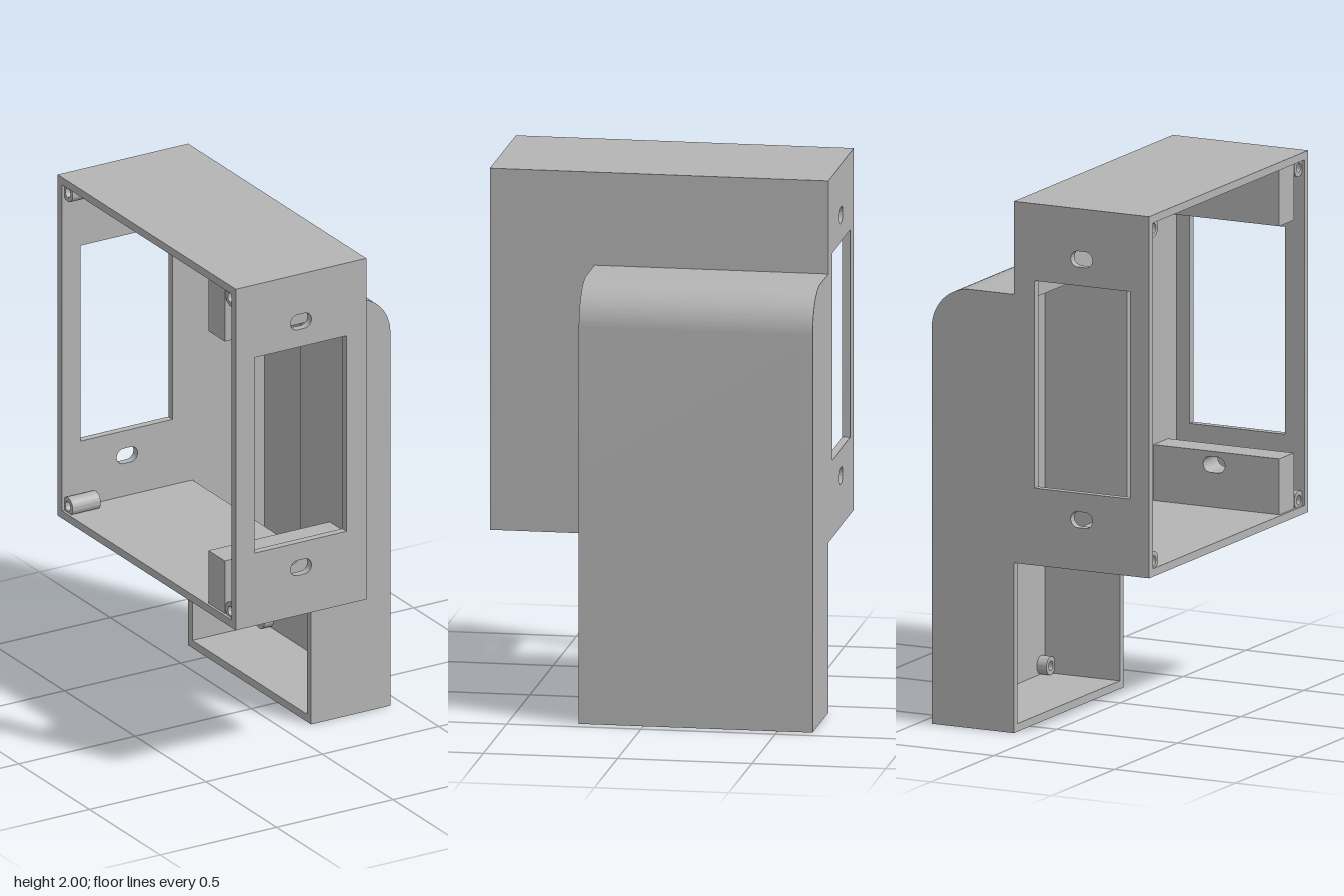
import * as THREE from 'three';
import { toCreasedNormals } from 'three/addons/utils/BufferGeometryUtils.js';

const T = 0.03; // wall thickness

function rect(C, x0, y0, x1, y1) {
  const p = new C();
  p.moveTo(x0, y0); p.lineTo(x1, y0); p.lineTo(x1, y1); p.lineTo(x0, y1); p.closePath();
  return p;
}

// Rounded screw slot, wide in x
function slot(cx, cy) {
  const p = new THREE.Path(), r = 0.03, h = 0.015;
  p.absarc(cx + h, cy, r, -Math.PI / 2, Math.PI / 2, false);
  p.absarc(cx - h, cy, r, Math.PI / 2, Math.PI * 1.5, false);
  p.closePath();
  return p;
}

function extrude(shape, depth) {
  const g = new THREE.ExtrudeGeometry(shape, { depth, bevelEnabled: false, curveSegments: 20 });
  return toCreasedNormals(g, 0.5);
}

export function createModel() {
  const group = new THREE.Group();
  const grey = new THREE.MeshStandardMaterial({ color: 0xb4b4b4 });
  grey.name = 'grey plastic';

  const add = (name, geo, x = 0, y = 0, z = 0) => {
    const m = new THREE.Mesh(geo, grey);
    m.name = name;
    m.position.set(x, y, z);
    group.add(m);
  };
  const box = (name, x0, x1, y0, y1, z0, z1) =>
    add(name, new THREE.BoxGeometry(x1 - x0, y1 - y0, z1 - z0), (x0 + x1) / 2, (y0 + y1) / 2, (z0 + z1) / 2);

  // Main housing: front and back walls with window and screw slots
  for (const [name, z] of [['frontWall', 0.60], ['backWall', -0.63]]) {
    const s = rect(THREE.Shape, -0.45, 0.64, 0.11, 2);
    s.holes.push(rect(THREE.Path, -0.37, 0.93, 0.025, 1.71), slot(-0.17, 0.83), slot(-0.17, 1.81));
    add(name, extrude(s, T), 0, 0, z);
  }
  box('roof', -0.45, 0.08, 2 - T, 2, -0.60, 0.60);
  box('floor', -0.45, 0.08, 0.64, 0.64 + T, -0.60, 0.60);

  // Side wall with the opening into the side housing
  const side = rect(THREE.Shape, -0.60, 0.64, 0.60, 2);
  side.holes.push(rect(THREE.Path, -0.599, 0.67, 0.21, 1.62));
  add('sideWall', extrude(side, T).rotateY(-Math.PI / 2), 0.11, 0, 0);

  // Mounting blocks standing behind the front wall
  const block = rect(THREE.Shape, -0.44, 0.67, 0.08, 0.88);
  block.holes.push(slot(-0.17, 0.83));
  add('lowerMountingBlock', extrude(block, 0.115), 0, 0, 0.42);
  box('upperMountingBlock', -0.44, 0.08, 1.755, 1.97, 0.42, 0.535);

  // Side housing: rounded shell, open towards the main housing
  const shell = new THREE.Shape();
  shell.moveTo(0.11, 0);
  shell.lineTo(0.45, 0);
  shell.absarc(0.29, 1.49, 0.16, 0, Math.PI / 2, false);
  shell.lineTo(0.11, 1.65);
  shell.lineTo(0.11, 1.62);
  shell.absarc(0.29, 1.49, 0.13, Math.PI / 2, 0, true);
  shell.lineTo(0.42, T);
  shell.lineTo(0.11, T);
  shell.closePath();
  add('sideHousingShell', extrude(shell, 0.81), 0, 0, -0.60);

  const cap = new THREE.Shape();
  cap.moveTo(0.11, 0);
  cap.lineTo(0.45, 0);
  cap.absarc(0.29, 1.49, 0.16, 0, Math.PI / 2, false);
  cap.lineTo(0.11, 1.65);
  cap.closePath();
  add('sideHousingFront', extrude(cap, T), 0, 0, 0.21);
  add('sideHousingBack', extrude(cap, T), 0, 0, -0.63);

  // Hollow screw bosses, running along x
  const boss = (name, x, y, z, length) => {
    const s = new THREE.Shape();
    s.absarc(0, 0, 0.035, 0, Math.PI * 2, false);
    const hole = new THREE.Path();
    hole.absarc(0, 0, 0.018, 0, Math.PI * 2, true);
    s.holes.push(hole);
    add(name, extrude(s, length).rotateY(Math.PI / 2), x, y, z);
  };
  for (const z of [-0.575, 0.575])
    for (const y of [0.695, 1.945]) boss('cornerBoss', -0.44, y, z, 0.12);
  for (const z of [-0.57, 0.18]) boss('sideHousingBoss', 0.38, 0.065, z, 0.05);

  return group;
}
